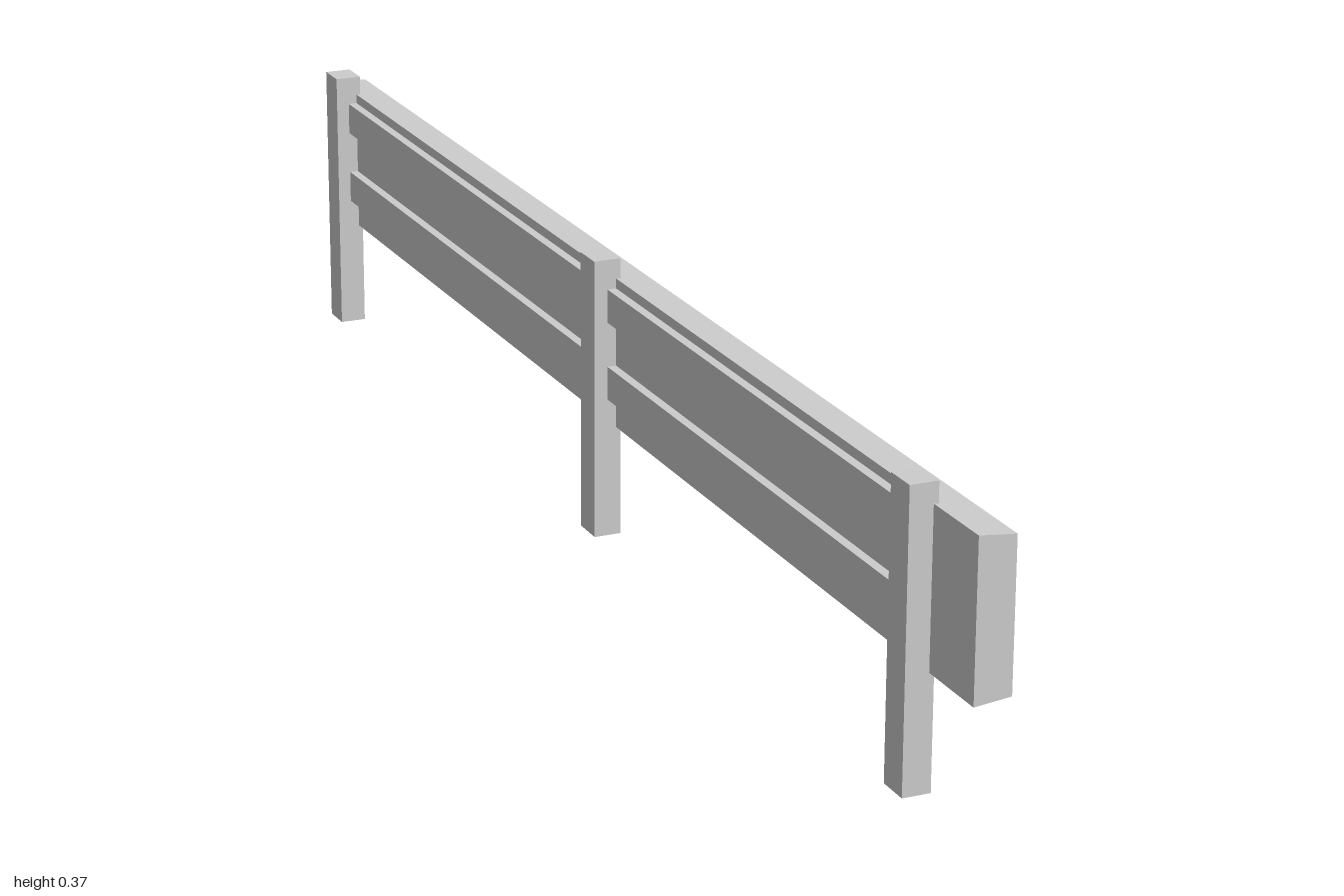
import * as THREE from 'three';

export function createModel() {
  const group = new THREE.Group();
  const material = new THREE.MeshStandardMaterial({ color: 0xcccccc, flatShading: true });

  const add = (name, geometry, x, y, z) => {
    const mesh = new THREE.Mesh(geometry, material);
    mesh.name = name;
    mesh.position.set(x, y, z);
    group.add(mesh);
  };

  // Main board: slightly tapered towards its outer face, extruded along z
  const profile = new THREE.Shape([
    new THREE.Vector2(-0.009, 0.146),
    new THREE.Vector2(0.038, 0.151),
    new THREE.Vector2(0.038, 0.34),
    new THREE.Vector2(-0.009, 0.345),
  ]);
  add('board', new THREE.ExtrudeGeometry(profile, { depth: 2, bevelEnabled: false }), 0, 0, -1);

  // Square posts behind the board
  const postZ = [0.875, 0.013, -0.934];
  for (const z of postZ) {
    add('post', new THREE.BoxGeometry(0.036, 0.371, 0.044), -0.021, 0.1855, z);
  }

  // Two thin rails along the back, ending inside the outer posts
  const railLength = postZ[0] - postZ[2];
  for (const y of [0.31, 0.207]) {
    add('backRail', new THREE.BoxGeometry(0.018, 0.044, railLength), -0.012, y, (postZ[0] + postZ[2]) / 2);
  }

  return group;
}
